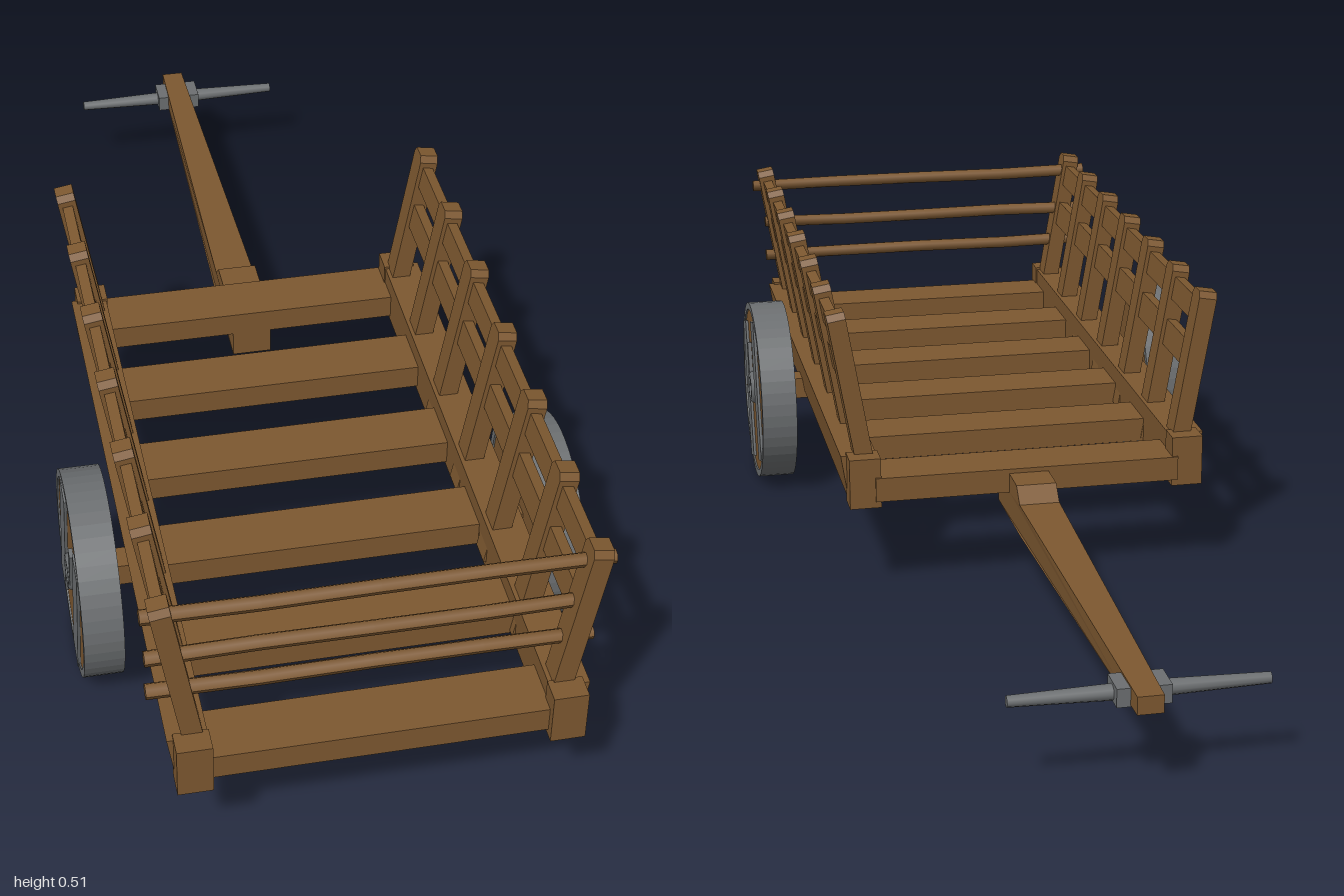
import * as THREE from 'three';

const wood = new THREE.MeshStandardMaterial({ color: 0x7d5830 });
wood.name = 'wood';
const metal = new THREE.MeshStandardMaterial({ color: 0x6c6f71 });
metal.name = 'iron';

function add(parent, name, geometry, material = wood, x = 0, y = 0, z = 0) {
  const mesh = new THREE.Mesh(geometry, material);
  mesh.name = name;
  mesh.position.set(x, y, z);
  parent.add(mesh);
  return mesh;
}

// Box given by its extents
function block(parent, name, [x0, x1], [y0, y1], [z0, z1], material = wood) {
  return add(parent, name, new THREE.BoxGeometry(x1 - x0, y1 - y0, z1 - z0), material,
    (x0 + x1) / 2, (y0 + y1) / 2, (z0 + z1) / 2);
}

const polygon = (points) => new THREE.Shape(points.map(([x, y]) => new THREE.Vector2(x, y)));
const extrude = (shape, depth, curveSegments = 12) =>
  new THREE.ExtrudeGeometry(shape, { depth, bevelEnabled: false, curveSegments });

// One side: rail, leaning slats and the two long planks (side is +1 or -1)
function makeSide(side) {
  const group = new THREE.Group();
  group.name = side > 0 ? 'leftSide' : 'rightSide';
  const s = (a, b) => (side > 0 ? [a, b] : [-b, -a]);

  const profile = [[0.262, 0.168], [0.312, 0.168], [0.325, 0.251], [0.262, 0.251]].map(([x, y]) => [x * side, y]);
  add(group, 'rail', extrude(polygon(profile), 1.1), wood, 0, 0, -0.13);
  block(group, 'railFrontEnd', s(0.26, 0.315), [0.165, 0.255], [0.96, 1]);
  block(group, 'railBackEnd', s(0.26, 0.315), [0.165, 0.255], [-0.165, -0.12]);

  const rack = new THREE.Group();
  rack.name = 'rack';
  rack.position.set(0.273 * side, 0.18, 0);
  rack.rotation.z = -0.169 * side;
  group.add(rack);
  const slat = extrude(polygon([[-0.022, 0], [0.022, 0], [0.022, 0.322], [0.014, 0.333], [-0.014, 0.333], [-0.022, 0.322]]), 0.032);
  slat.translate(0, 0, -0.016).rotateY(Math.PI / 2);
  for (let i = 0; i < 7; i++) add(rack, 'slat', slat, wood, 0, 0, 0.943 - i * 0.176);
  block(rack, 'upperPlank', [-0.009, 0.009], [0.27, 0.312], [-0.13, 0.96]);
  block(rack, 'lowerPlank', [-0.009, 0.009], [0.184, 0.232], [-0.13, 0.96]);
  return group;
}

// Solid wooden wheel with an iron tyre, two straps and a hanging loop
function makeWheel(side) {
  const wheel = new THREE.Group();
  wheel.name = side > 0 ? 'leftWheel' : 'rightWheel';
  wheel.position.set(0.379 * side, 0.172, 0.5);

  const disc = new THREE.CylinderGeometry(0.162, 0.162, 0.06, 24);
  disc.rotateZ(Math.PI / 2);
  add(wheel, 'wheelDisc', disc);

  const ring = new THREE.Shape().absarc(0, 0, 0.172, 0, Math.PI * 2, false);
  ring.holes.push(new THREE.Path().absarc(0, 0, 0.159, 0, Math.PI * 2, true));
  const tyre = extrude(ring, 0.066, 24);
  tyre.translate(0, 0, -0.033).rotateY(Math.PI / 2);
  add(wheel, 'tyre', tyre, metal);

  const fittings = new THREE.Group();
  fittings.name = 'wheelFittings';
  fittings.position.x = 0.032 * side;
  fittings.rotation.x = 0.27;
  wheel.add(fittings);
  for (const z of [-0.075, 0.075]) add(fittings, 'strap', new THREE.BoxGeometry(0.006, 0.27, 0.052), metal, 0, 0, z);
  const loop = new THREE.TorusGeometry(0.024, 0.008, 6, 14);
  loop.rotateY(Math.PI / 2);
  add(fittings, 'loop', loop, metal, 0, 0.005, 0);
  add(fittings, 'loopShank', new THREE.BoxGeometry(0.01, 0.085, 0.018), metal, 0, 0.05, 0.02);
  return wheel;
}

export function createModel() {
  const cart = new THREE.Group();
  cart.name = 'handCart';

  for (const side of [1, -1]) cart.add(makeSide(side), makeWheel(side));

  // Floor boards and axle
  for (let i = 0; i < 6; i++) {
    const z = -0.121 + i * 0.2118;
    block(cart, 'floorBoard', [-0.27, 0.27], [0.177, 0.22], [z - 0.048, z + 0.048]);
  }
  block(cart, 'axle', [-0.352, 0.352], [0.155, 0.195], [0.48, 0.525]);

  // Rough round bars across the front
  for (const [y, x0, x1] of [[0.477, -0.355, 0.355], [0.396, -0.35, 0.332], [0.326, -0.35, 0.332]]) {
    const bar = new THREE.CylinderGeometry(0.0125, 0.0115, x1 - x0, 7, 4);
    bar.rotateZ(Math.PI / 2);
    const p = bar.attributes.position;
    for (let i = 0; i < p.count; i++) p.setY(i, p.getY(i) + 0.0015 * Math.sin(p.getX(i) * 14 + y * 40));
    bar.computeVertexNormals();
    add(cart, 'frontBar', bar, wood, (x0 + x1) / 2, y, 0.937);
  }

  // Draw bar: side profile extruded across x, narrowing toward the tip
  const profile = polygon([[-0.075, 0.128], [-0.075, 0.178], [-0.168, 0.178], [-0.168, 0.212], [-0.23, 0.212],
    [-0.256, 0.186], [-1, 0.174], [-1, 0.145], [-0.256, 0.13]]);
  const drawBar = extrude(profile, 0.07);
  drawBar.translate(0, 0, -0.035).rotateY(-Math.PI / 2);
  const p = drawBar.attributes.position;
  for (let i = 0; i < p.count; i++) {
    const t = Math.max(0, (-p.getZ(i) - 0.256) / 0.744);
    p.setX(i, p.getX(i) * (1 - 0.42 * t));
  }
  drawBar.computeVertexNormals();
  add(cart, 'drawBar', drawBar);

  // Iron cross handle with its collar
  block(cart, 'handleCollar', [-0.042, 0.042], [0.142, 0.172], [-0.965, -0.91], metal);
  for (const side of [1, -1]) {
    const grip = new THREE.CylinderGeometry(0.009, 0.014, 0.2, 10);
    grip.rotateZ(-Math.PI / 2 * side);
    add(cart, 'handleGrip', grip, metal, 0.1 * side, 0.155, -0.937);
  }
  return cart;
}
